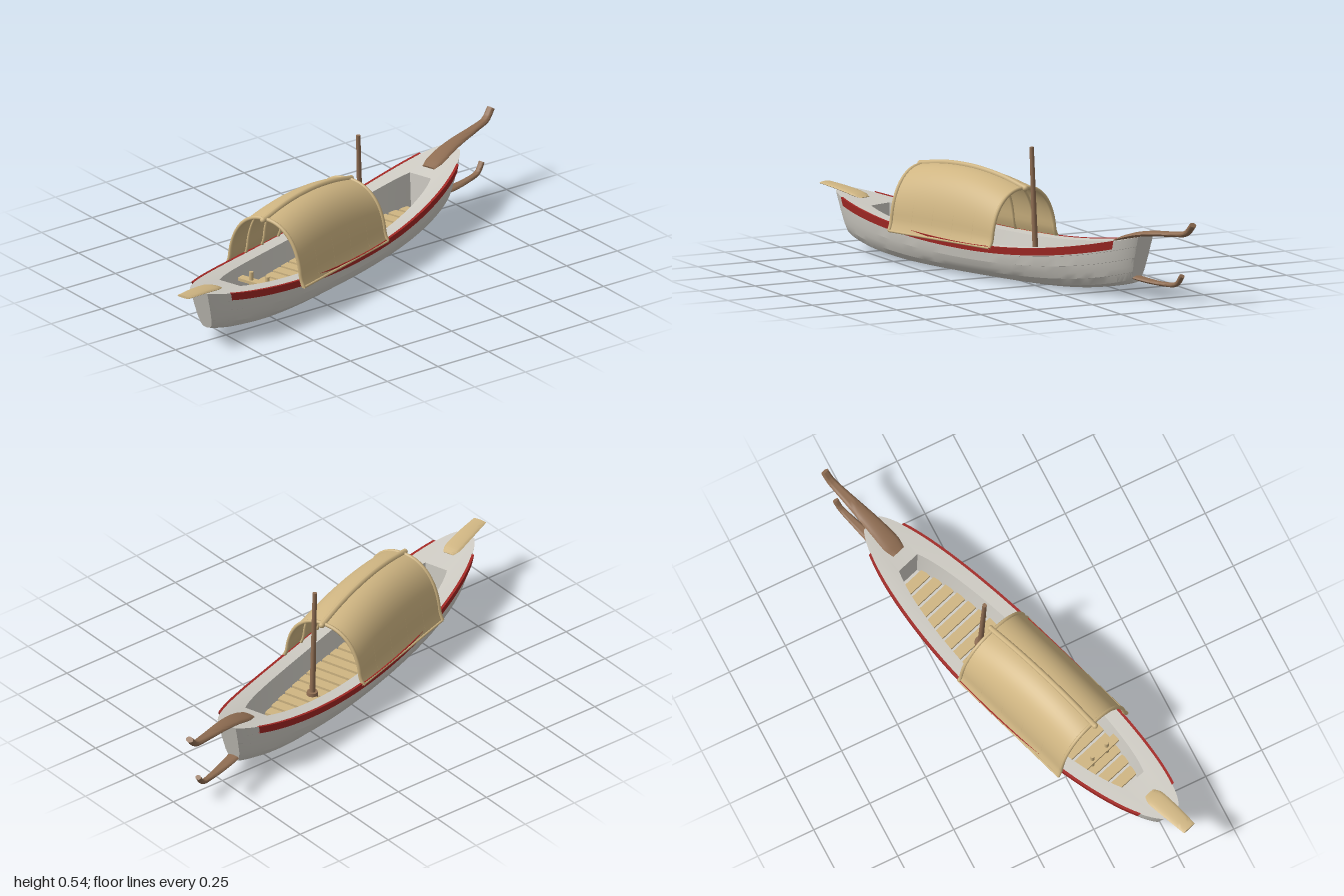
import * as THREE from 'three';
import { toCreasedNormals } from 'three/addons/utils/BufferGeometryUtils.js';

const V = (x, y, z) => new THREE.Vector3(x, y, z);
const lerp = THREE.MathUtils.lerp;

// Surface through rows of points; closed joins each row's last point to its first.
function grid(rows, closed = false, crease = 0.45) {
  const n = rows[0].length, index = [];
  const cols = closed ? n : n - 1;
  for (let j = 0; j < rows.length - 1; j++) {
    for (let i = 0; i < cols; i++) {
      const k = (i + 1) % n;
      const a = j * n + i, b = j * n + k, c = a + n, d = b + n;
      index.push(a, b, d, a, d, c);
    }
  }
  const g = new THREE.BufferGeometry().setFromPoints(rows.flat());
  g.setIndex(index);
  return toCreasedNormals(g, crease);
}

// Hull rules: q runs from -1 (stern) to 1 (bow).
const MID = -0.085;
const sheer = (s) => 0.146 + (s < -0.05 ? 0.114 : 0.163) * (s + 0.05) ** 2;
const halfBeam = (q) => 0.187 * Math.sqrt(1 - 0.95 * q * q);
const hullPoint = (q, a, b, side, out = 0) => V(
  MID + lerp(0.8, 0.855, b) * q,
  lerp(0.06 * q ** 4, sheer(MID + 0.855 * q), b),
  side * (a * halfBeam(q) + out));
const innerHalf = (q) => 0.133 * Math.sqrt(1 - 0.85 * q * q);
const wellPoint = (q, side, width, y) => {
  const s = MID + 0.645 * q * lerp(0.95, 1, width);
  return V(s, y ?? sheer(s), side * innerHalf(q) * width);
};

// A full loop round the boat: one side sternward to bow, then back.
const STEPS = 40;
const qs = Array.from({ length: STEPS + 1 }, (_, i) => Math.sin((i / STEPS - 0.5) * Math.PI));
const loop = (f) => [...qs.map((q) => f(q, 1)), ...[...qs].reverse().map((q) => f(q, -1))];

// Flattened round bar along a path of [s, y, half width, half thickness].
function bar(pts) {
  const path = new THREE.CatmullRomCurve3(pts.map((p) => V(p[0], p[1], 0)));
  const size = new THREE.CatmullRomCurve3(pts.map((p, i) => V(p[2], p[3], i * 0.01)));
  const rows = [], N = 28, M = 16;
  for (let j = 0; j <= N; j++) {
    const c = path.getPoint(j / N), t = path.getTangent(j / N), r = size.getPoint(j / N);
    const ring = (k) => Array.from({ length: M }, (_, i) => {
      const f = (i / M) * Math.PI * 2, h = Math.sin(f) * r.y * k;
      return V(c.x - t.y * h, c.y + t.x * h, -Math.cos(f) * r.x * k);
    });
    if (j === 0) rows.push(ring(0));
    rows.push(ring(1));
    if (j === N) rows.push(ring(0));
  }
  return grid(rows, true, 0.8);
}

// Canopy rules: arch outline at length s, with f from 0 to PI.
const S0 = -0.49, S1 = 0.077, BASE = 0.143;
const ridgeY = (s) => 0.413 - 0.42 * (s + 0.235) ** 2 - 0.025 * (s + 0.2);
function archPoint(s, f, k = 1) {
  const c = Math.cos(f), h = Math.sin(f);
  const w = Math.sign(c) * Math.abs(c) ** 0.88 * 0.178;
  const flare = Math.sign(c) * 0.014 * Math.max(0, 1 - h / 0.16) ** 2;
  return V(s, BASE + (ridgeY(s) - BASE) * Math.max(h, 0) ** 0.92 * k, (w + flare) * k);
}
const arch = (s, k) => Array.from({ length: 41 }, (_, i) => archPoint(s, (i / 40) * Math.PI, k));

export function createModel() {
  const paint = (name, color, side = THREE.FrontSide) => {
    const m = new THREE.MeshStandardMaterial({ color, side });
    m.name = name;
    return m;
  };
  const grey = paint('hull grey', 0xcfccc4);
  const red = paint('stripe red', 0xa32824, THREE.DoubleSide);
  const tan = paint('straw tan', 0xcfb582, THREE.DoubleSide);
  const brown = paint('spar brown', 0x8f6d52);

  const root = new THREE.Group();
  root.name = 'riverBoat';
  const boat = new THREE.Group();
  boat.name = 'boat';
  boat.rotation.y = 0.31;
  boat.position.set(-0.005, 0, -0.016);
  root.add(boat);
  const add = (name, geometry, material) => {
    const m = new THREE.Mesh(geometry, material);
    m.name = name;
    boat.add(m);
    return m;
  };
  const tube = (name, pts, r, mat) =>
    add(name, new THREE.TubeGeometry(new THREE.CatmullRomCurve3(pts), 48, r, 8), mat);

  // Hull with lapped planks, deck rim, well and floor
  const section = [[0, 0], [0.4, 0.015], [0.6, 0.08], [0.76, 0.24], [0.785, 0.245], [0.85, 0.38],
    [0.905, 0.55], [0.925, 0.555], [0.96, 0.79], [0.98, 0.795], [1, 1]];
  const FLOOR = 0.05;
  add('hull', grid([
    ...section.map(([a, b]) => loop((q, side) => hullPoint(q, a, b, side))),
    loop((q, side) => wellPoint(q, side, 1)),
    loop((q, side) => wellPoint(q, side, 0.82, FLOOR)),
    loop((q, side) => wellPoint(q, side, 0, FLOOR)),
  ], true), grey);

  // Red rubbing strips on both sides
  for (const side of [1, -1]) {
    const band = [[0.83, 0], [0.83, 0.008], [1.015, 0.008], [1.015, -0.003]];
    const rows = band.map(([b, out]) => Array.from({ length: 49 }, (_, i) =>
      hullPoint(lerp(-0.9, 0.9, i / 48) * side, lerp(0.98, 1, (b - 0.8) / 0.2), b, side, out)));
    add(side > 0 ? 'leftStripe' : 'rightStripe', grid(rows), red);
  }

  // Floor slats
  for (let s = -0.66; s < 0.53; s += 0.056) {
    const half = innerHalf((s - MID) / 0.645) * 0.84;
    const slat = add('floorSlat', new THREE.BoxGeometry(0.043, 0.012, half * 2), tan);
    slat.position.set(s, FLOOR + 0.012, 0);
  }

  // Stern thwart and two short posts
  const thwart = add('sternThwart', new THREE.BoxGeometry(0.035, 0.012, 0.19), tan);
  thwart.position.set(-0.53, 0.125, 0);
  for (const side of [1, -1]) {
    const post = add('sternPost', new THREE.CylinderGeometry(0.009, 0.01, 0.11, 10), tan);
    post.position.set(-0.53, 0.11, side * 0.04);
  }

  // Arched canopy with hoops, inner ribs and ridge pole
  const rows = Array.from({ length: 21 }, (_, j) => arch(lerp(S0, S1, j / 20)));
  add('canopy', grid(rows.reverse(), false, 1), tan);
  for (const s of [S0, S1]) tube('endHoop', arch(s, 0.995), 0.008, tan);
  for (let i = 1; i < 5; i++) tube('innerRib', arch(lerp(S0, S1, i / 5), 0.97), 0.006, tan);
  for (const f of [0, Math.PI]) {
    tube('hemRail', [S0, -0.3, -0.1, S1].map((s) => archPoint(s, f)), 0.005, tan);
  }
  const ridge = [-0.505, -0.35, -0.2, -0.05, 0.09].map((s) => V(s, ridgeY(s) + 0.002, 0));
  tube('ridgePole', ridge, 0.012, tan);
  for (const i of [0, 4]) {
    const cap = add('ridgeCap', new THREE.SphereGeometry(0.012, 12, 8), tan);
    cap.position.copy(ridge[i]);
  }

  // Raked mast
  const foot = V(0.153, FLOOR, 0.003), top = V(0.131, 0.537, 0.006);
  const mast = add('mast', new THREE.CylinderGeometry(0.009, 0.012, foot.distanceTo(top), 14), brown);
  mast.position.copy(foot).lerp(top, 0.5);
  mast.quaternion.setFromUnitVectors(V(0, 1, 0), top.clone().sub(foot).normalize());
  const step = add('mastStep', new THREE.CylinderGeometry(0.022, 0.024, 0.02, 14), brown);
  step.position.set(0.153, FLOOR + 0.022, 0.003);

  // Curled bow spars and stern plank
  add('upperBowSpar', bar([[0.615, 0.222, 0.03, 0.005], [0.66, 0.236, 0.04, 0.01], [0.73, 0.256, 0.037, 0.011],
    [0.81, 0.27, 0.031, 0.011], [0.93, 0.282, 0.022, 0.011], [1.0, 0.294, 0.018, 0.012],
    [1.037, 0.332, 0.017, 0.012]]), brown);
  add('lowerBowSpar', bar([[0.66, 0.09, 0.026, 0.006], [0.75, 0.078, 0.025, 0.009], [0.87, 0.073, 0.017, 0.009],
    [0.945, 0.082, 0.013, 0.01], [0.975, 0.118, 0.013, 0.01]]), brown);
  add('sternPlank', bar([[-0.815, 0.213, 0.024, 0.004], [-0.85, 0.223, 0.037, 0.007], [-0.94, 0.238, 0.036, 0.007],
    [-1.043, 0.249, 0.03, 0.005]]), tan);

  return root;
}
